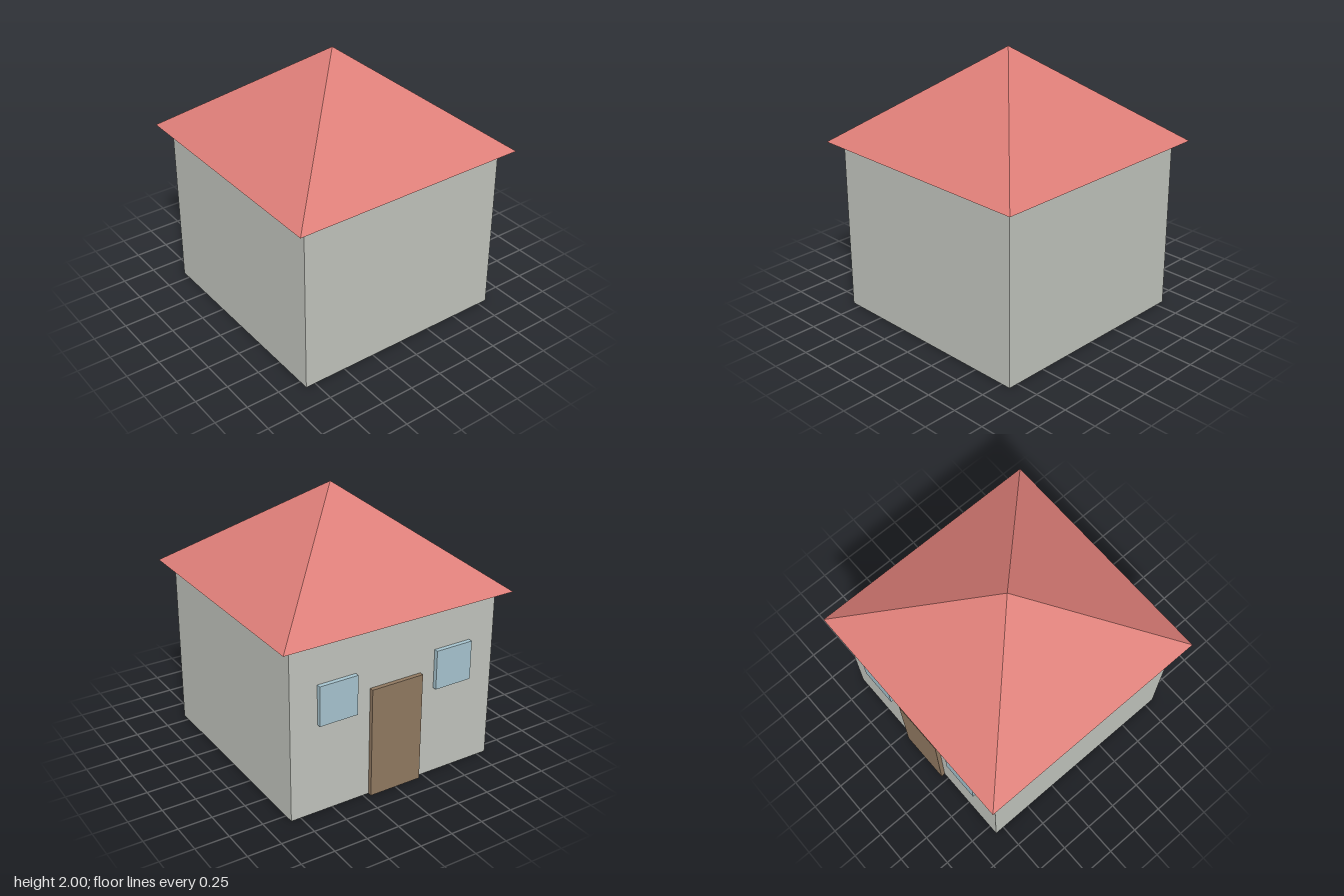
import * as THREE from 'three';

const paint = (name, color) => {
  const m = new THREE.MeshStandardMaterial({ color });
  m.name = name;
  return m;
};

export function createModel() {
  const house = new THREE.Group();
  house.name = 'house';

  const wallGrey = paint('wall grey', 0xc0c3bc);
  const roofRed = paint('roof red', 0xdc7d77);
  const doorBrown = paint('door brown', 0x8f7860);
  const windowBlue = paint('window blue', 0xa6c3ce);

  const wallHalf = 0.823, wallHeight = 1.298, roofHalf = 0.91, depth = 0.032;

  const add = (name, geometry, material, x, y, z) => {
    const mesh = new THREE.Mesh(geometry, material);
    mesh.name = name;
    mesh.position.set(x, y, z);
    house.add(mesh);
  };

  // Square body
  add('walls', new THREE.BoxGeometry(wallHalf * 2, wallHeight, wallHalf * 2), wallGrey, 0, wallHeight / 2, 0);

  // Pyramid roof with closed underside and crisp hips
  const roofHeight = 2 - wallHeight;
  const roof = new THREE.ConeGeometry(roofHalf * Math.SQRT2, roofHeight, 4).rotateY(Math.PI / 4).toNonIndexed();
  roof.computeVertexNormals();
  add('roof', roof, roofRed, 0, wallHeight + roofHeight / 2, 0);

  // Door and windows stand out from the back wall
  const z = -wallHalf - depth / 2;
  const doorHeight = 0.83;
  add('door', new THREE.BoxGeometry(0.41, doorHeight, depth), doorBrown, 0, doorHeight / 2, z);
  for (const [name, side] of [['leftWindow', 1], ['rightWindow', -1]]) {
    add(name, new THREE.BoxGeometry(0.295, 0.295, depth), windowBlue, side * 0.468, 0.828, z);
  }

  return house;
}
